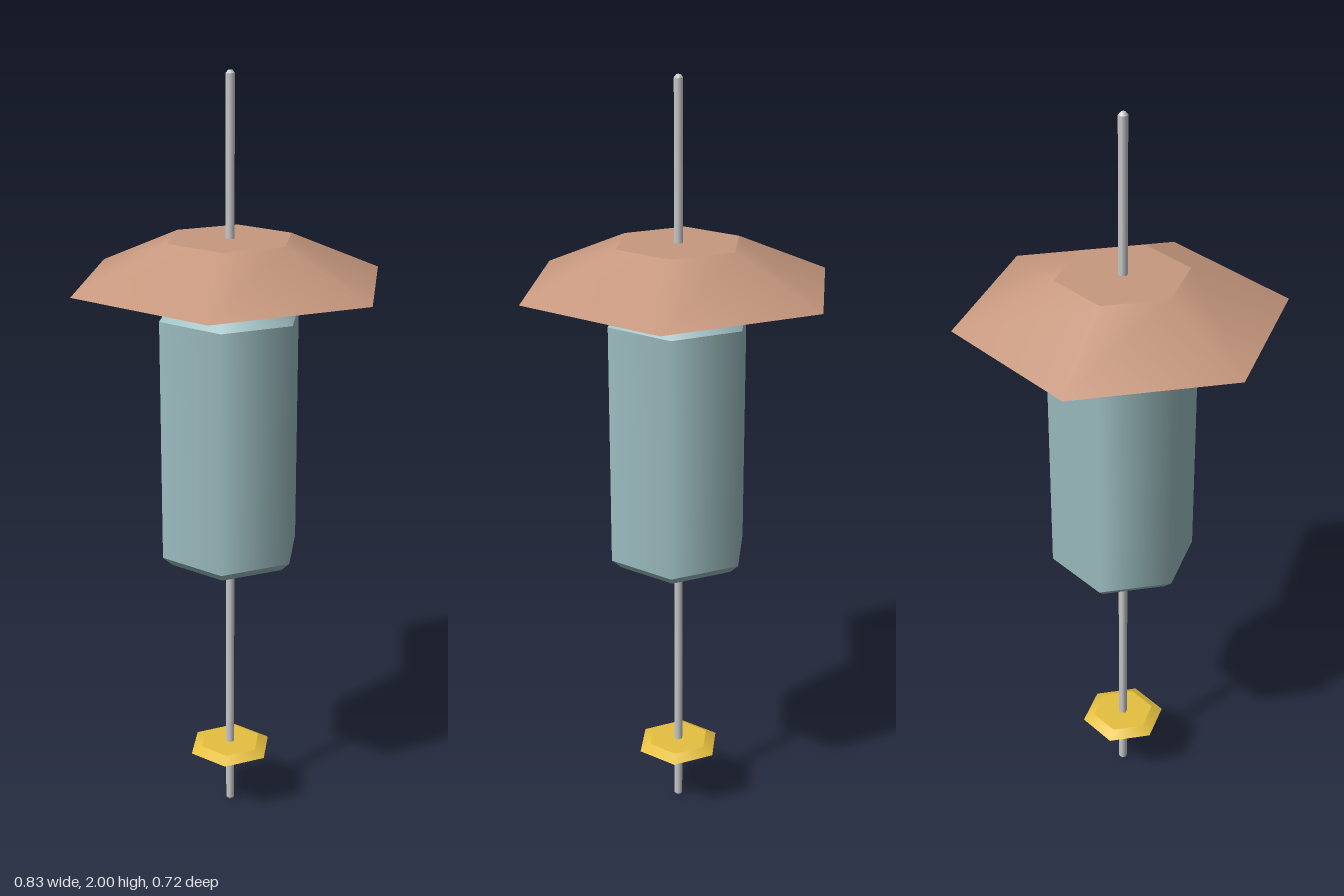
import * as THREE from 'three';
import { mergeGeometries } from 'three/addons/utils/BufferGeometryUtils.js';

const SIDES = 6;

// Stack of six-sided frustums from [radius, y] rings, bottom to top.
// Each band is smooth around the axis and sharp against its neighbours.
function hexStack(name, rings, color) {
  const bands = [];
  for (let i = 0; i < rings.length - 1; i++) {
    const [r0, y0] = rings[i];
    const [r1, y1] = rings[i + 1];
    const band = new THREE.CylinderGeometry(r1, r0, y1 - y0, SIDES, 1, true);
    bands.push(band.translate(0, (y0 + y1) / 2, 0));
  }
  // flat end caps
  const [rb, yb] = rings[0];
  const [rt, yt] = rings[rings.length - 1];
  bands.push(new THREE.CircleGeometry(rb, SIDES, Math.PI / 2).rotateX(Math.PI / 2).translate(0, yb, 0));
  bands.push(new THREE.CircleGeometry(rt, SIDES, Math.PI / 2).rotateX(-Math.PI / 2).translate(0, yt, 0));
  // corners point along x
  const geometry = mergeGeometries(bands).rotateY(Math.PI / 2);
  const mesh = new THREE.Mesh(geometry, new THREE.MeshStandardMaterial({ color }));
  mesh.name = name;
  return mesh;
}

export function createModel() {
  const group = new THREE.Group();
  group.name = 'hangingFeeder';

  // thin rod running through everything
  group.add(hexStack('rod', [[0.006, 0], [0.012, 0.007], [0.012, 1.993], [0.006, 2]], 0xcccccc));

  // chamfered container
  group.add(hexStack('container', [[0.165, 0.748], [0.19, 0.772], [0.19, 1.405], [0.165, 1.43]], 0x9fc0c4));

  // sloping roof with a flat top
  group.add(hexStack('roof', [[0.415, 1.488], [0.166, 1.597]], 0xc8997f));

  // small perch plate near the bottom
  group.add(hexStack('perchPlate', [[0.115, 0.17], [0.085, 0.186]], 0xe6c040));

  return group;
}
